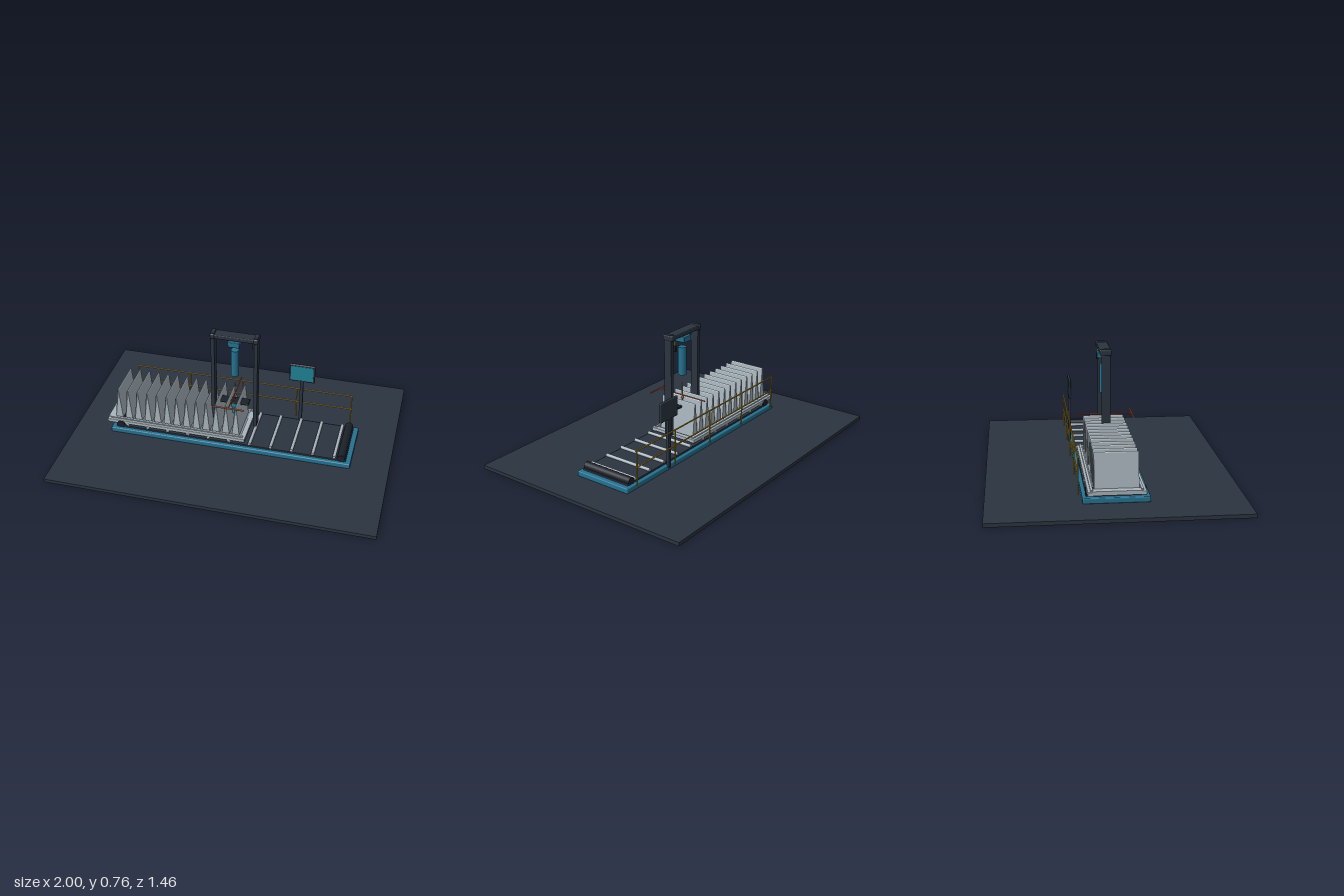
import * as THREE from 'three';
import { RoundedBoxGeometry } from 'three/addons/geometries/RoundedBoxGeometry.js';

const mat = (color) => new THREE.MeshStandardMaterial({ color });
const dark = mat(0x2b343f), black = mat(0x1b2129), blue = mat(0x257291), teal = mat(0x1f8094);
const steel = mat(0xa9b5be), grey = mat(0x7d878f), gold = mat(0xa8841f), orange = mat(0xb5512b), green = mat(0x5fae3c);

export function createModel() {
  const root = new THREE.Group();

  const add = (name, geometry, material, x, y, z, parent = root) => {
    const m = new THREE.Mesh(geometry, material);
    m.name = name;
    m.position.set(x, y, z);
    parent.add(m);
    return m;
  };
  const group = (name) => {
    const g = new THREE.Group();
    g.name = name;
    root.add(g);
    return g;
  };
  // Box given by its extents on each axis
  const box = (name, material, [x0, x1], [y0, y1], [z0, z1], parent, r = 0) => {
    const s = [x1 - x0, y1 - y0, z1 - z0];
    const geo = r ? new RoundedBoxGeometry(...s, 3, r) : new THREE.BoxGeometry(...s);
    return add(name, geo, material, (x0 + x1) / 2, (y0 + y1) / 2, (z0 + z1) / 2, parent);
  };
  // Round bar along one axis
  const bar = (name, material, axis, r, length, x, y, z, parent) => {
    const geo = new THREE.CylinderGeometry(r, r, length, 20);
    if (axis === 'x') geo.rotateZ(Math.PI / 2);
    if (axis === 'z') geo.rotateX(Math.PI / 2);
    return add(name, geo, material, x, y, z, parent);
  };

  // Floor slab
  box('floor', dark, [-1, 1], [0, 0.022], [-0.73, 0.73]);

  // Conveyor base: blue tray, dark belt, rollers and end drums
  const conveyor = group('conveyor');
  box('baseFrame', blue, [-0.765, 0.765], [0.022, 0.055], [-0.19, 0.19], conveyor, 0.006);
  box('belt', dark, [-0.735, 0.735], [0.05, 0.066], [-0.168, 0.168], conveyor);
  for (let i = -5; i <= 5; i++) {
    bar('roller', steel, 'z', 0.01, 0.33, i * 0.1325, 0.073, 0, conveyor);
  }
  for (const s of [-1, 1]) {
    bar('endDrum', black, 'z', 0.025, 0.34, s * 0.705, 0.074, 0, conveyor);
  }

  // Carriage with side rails and end plates
  const carriage = group('carriage');
  box('carriageFloor', grey, [-0.79, 0.095], [0.078, 0.094], [-0.15, 0.15], carriage);
  for (const s of [-1, 1]) {
    box('sideRail', steel, [-0.795, 0.1], [0.076, 0.1], [s * 0.148 - 0.016, s * 0.148 + 0.016], carriage, 0.004);
    box('railCap', steel, [-0.78, 0.085], [0.098, 0.108], [s * 0.141 - 0.007, s * 0.141 + 0.007], carriage);
  }
  box('endPlate', steel, [-0.795, -0.75], [0.08, 0.104], [-0.14, 0.14], carriage);
  box('endPlate', steel, [0.07, 0.1], [0.08, 0.1], [-0.14, 0.14], carriage);

  // Row of tapered fins
  const finShape = new THREE.Shape();
  finShape.moveTo(-0.024, 0.094);
  finShape.lineTo(0.024, 0.094);
  finShape.lineTo(0.004, 0.304);
  finShape.lineTo(0, 0.309);
  finShape.lineTo(-0.004, 0.304);
  const finGeo = new THREE.ExtrudeGeometry(finShape, { depth: 0.25, bevelEnabled: false });
  finGeo.translate(0, 0, -0.125);
  // Pull the ridge in slightly so the top corners are chamfered
  const p = finGeo.attributes.position;
  for (let i = 0; i < p.count; i++) if (p.getY(i) > 0.306) p.setZ(i, p.getZ(i) * 0.96);
  finGeo.computeVertexNormals();
  for (let i = 0; i < 13; i++) add('fin', finGeo, steel, -0.727 + i * 0.0634, 0, 0, carriage);

  // Gantry
  const gantry = group('gantry');
  for (const s of [-1, 1]) {
    const x = s * 0.134;
    box('gantryPost', dark, [x - 0.011, x + 0.011], [0.108, 0.76], [-0.026, 0.026], gantry);
    box('beamEndCap', dark, [x - 0.014, x + 0.014], [0.722, 0.757], [-0.037, 0.037], gantry, 0.008);
  }
  box('beam', dark, [-0.14, 0.14], [0.725, 0.752], [-0.034, 0.034], gantry, 0.005);
  box('toolMount', blue, [-0.036, 0.036], [0.684, 0.72], [-0.042, 0.042], gantry, 0.004);
  bar('actuator', blue, 'y', 0.025, 0.18, 0, 0.555, 0, gantry);

  // Signal light hung below the beam
  const signal = group('signalLight');
  box('signalBody', black, [0.103, 0.119], [0.65, 0.69], [-0.036, -0.02], signal);
  bar('signalLamp', gold, 'y', 0.006, 0.012, 0.111, 0.696, -0.028, signal);
  bar('signalLamp', green, 'y', 0.006, 0.012, 0.111, 0.708, -0.028, signal);
  bar('signalStem', dark, 'y', 0.003, 0.02, 0.111, 0.72, -0.028, signal);

  // Tool head between the fins
  const tool = group('toolHead');
  bar('toolRod', grey, 'y', 0.004, 0.14, 0, 0.34, 0, tool);
  box('toolPlate', black, [-0.093, 0.093], [0.262, 0.275], [-0.03, 0.03], tool, 0.004);
  bar('toolCollar', teal, 'y', 0.026, 0.03, 0, 0.247, 0, tool);
  bar('toolNozzle', teal, 'y', 0.016, 0.06, 0, 0.208, 0, tool);

  // Orange push handle
  const handle = group('handle');
  bar('handleArm', orange, 'z', 0.004, 0.345, 0, 0.327, 0, handle);
  bar('handleGrip', orange, 'x', 0.005, 0.2, 0, 0.33, 0.173, handle);
  add('handleKnob', new THREE.SphereGeometry(0.01, 16, 12), orange, 0, 0.312, 0, handle);

  // Control screen on a post
  const control = group('controlScreen');
  box('screenPost', dark, [0.375, 0.395], [0.04, 0.36], [-0.198, -0.18], control);
  box('screenFrame', dark, [0.304, 0.466], [0.35, 0.474], [-0.198, -0.182], control, 0.006);
  box('screenPanel', teal, [0.314, 0.456], [0.361, 0.463], [-0.184, -0.18], control);

  // Safety railing along the back
  const railing = group('railing');
  for (const y of [0.175, 0.275]) bar('rail', gold, 'x', 0.0045, 1.42, 0, y, -0.211, railing);
  for (let i = -2; i <= 2; i++) bar('railPost', gold, 'y', 0.0045, 0.22, i * 0.351, 0.167, -0.211, railing);

  return root;
}
